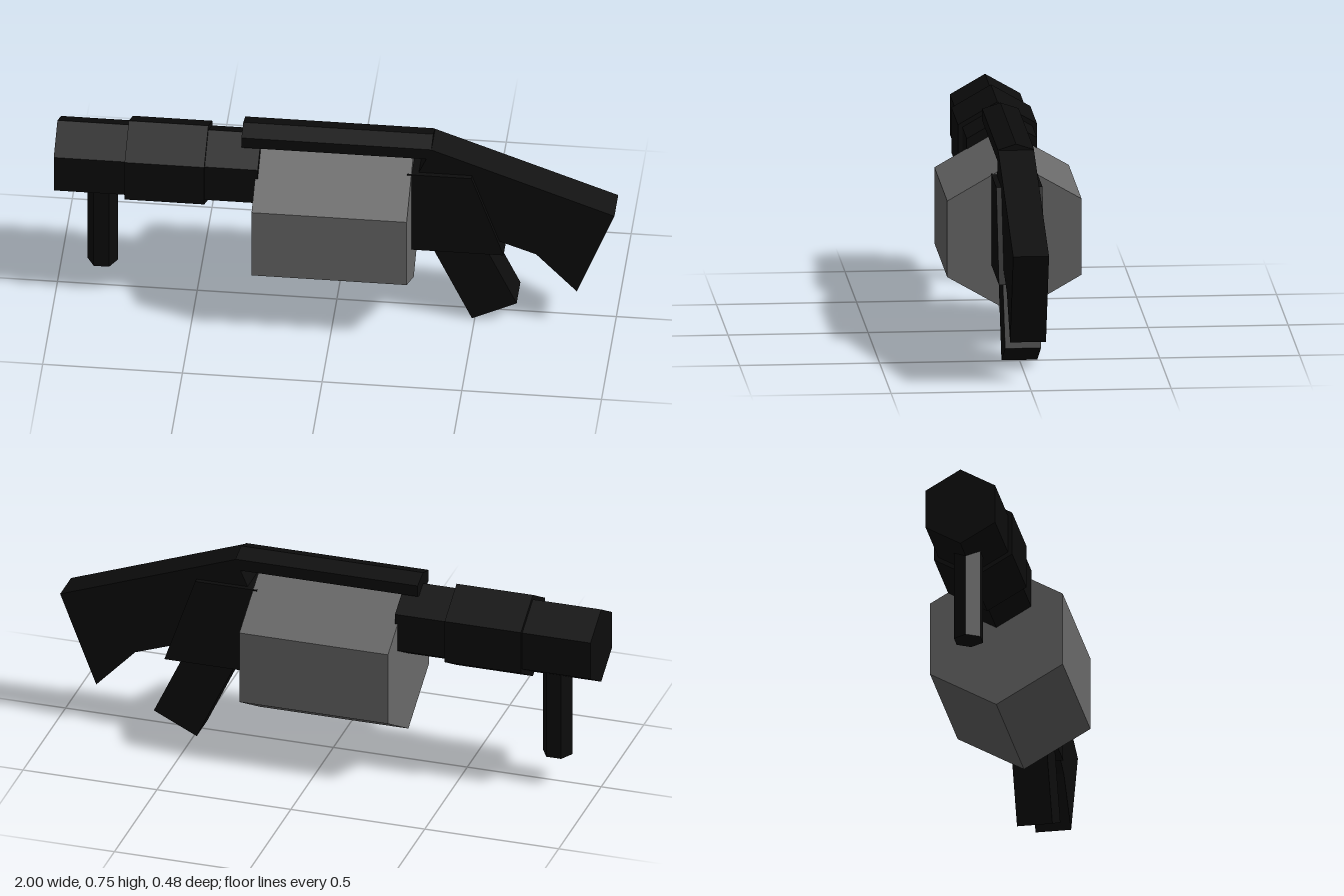
import * as THREE from 'three';

const black = new THREE.MeshStandardMaterial({ color: 0x0c0c0c, flatShading: true });
black.name = 'black';
const grey = new THREE.MeshStandardMaterial({ color: 0x696969, flatShading: true });
grey.name = 'grey';

// Hexagonal prism with two corners on the local x axis, standing along y
const hexagon = (radius, length) =>
  new THREE.CylinderGeometry(radius, radius, length, 6, 1, false, Math.PI / 2);

export function createModel() {
  const model = new THREE.Group();
  model.name = 'launcher';

  const add = (name, geometry, material = black) => {
    const mesh = new THREE.Mesh(geometry, material);
    mesh.name = name;
    model.add(mesh);
    return mesh;
  };

  // Hexagonal prism lying along x, with a corner pointing up
  const lyingHexagon = (name, x0, x1, y, radius, material) => {
    const mesh = add(name, hexagon(radius, x1 - x0).rotateZ(Math.PI / 2), material);
    mesh.position.set((x0 + x1) / 2, y, 0);
    return mesh;
  };

  // Side outline extruded evenly about z = 0
  const slab = (name, width, points) => {
    const shape = new THREE.Shape(points.map(([x, y]) => new THREE.Vector2(x, y)));
    const geometry = new THREE.ExtrudeGeometry(shape, { depth: width, bevelEnabled: false });
    return add(name, geometry.translate(0, 0, -width / 2));
  };

  // Barrel, sleeve and drum
  lyingHexagon('barrel', -1, -0.27, 0.567, 0.145);
  lyingHexagon('barrelSleeve', -0.745, -0.46, 0.567, 0.163);
  lyingHexagon('drum', -0.28, 0.275, 0.397, 0.277, grey);

  // Flattened top rail
  lyingHexagon('topRail', -0.335, 0.345, 0.712, 0.075).scale.y = 0.57;

  // Front hand post
  add('foregrip', hexagon(0.055, 0.385)).position.set(-0.838, 0.307, 0);

  // Receiver, stock and rear grip
  slab('receiver', 0.165, [[0.26, 0.3], [0.605, 0.3], [0.49, 0.63], [0.26, 0.63]]);
  slab('stock', 0.128, [
    [0.345, 0.732], [0.3, 0.63], [0.3, 0.45], [0.58, 0.35], [0.72, 0.3], [0.865, 0.148], [1, 0.49],
  ]);
  slab('rearGrip', 0.128, [[0.49, 0], [0.65, 0.078], [0.47, 0.46], [0.3, 0.405]]);

  return model;
}
